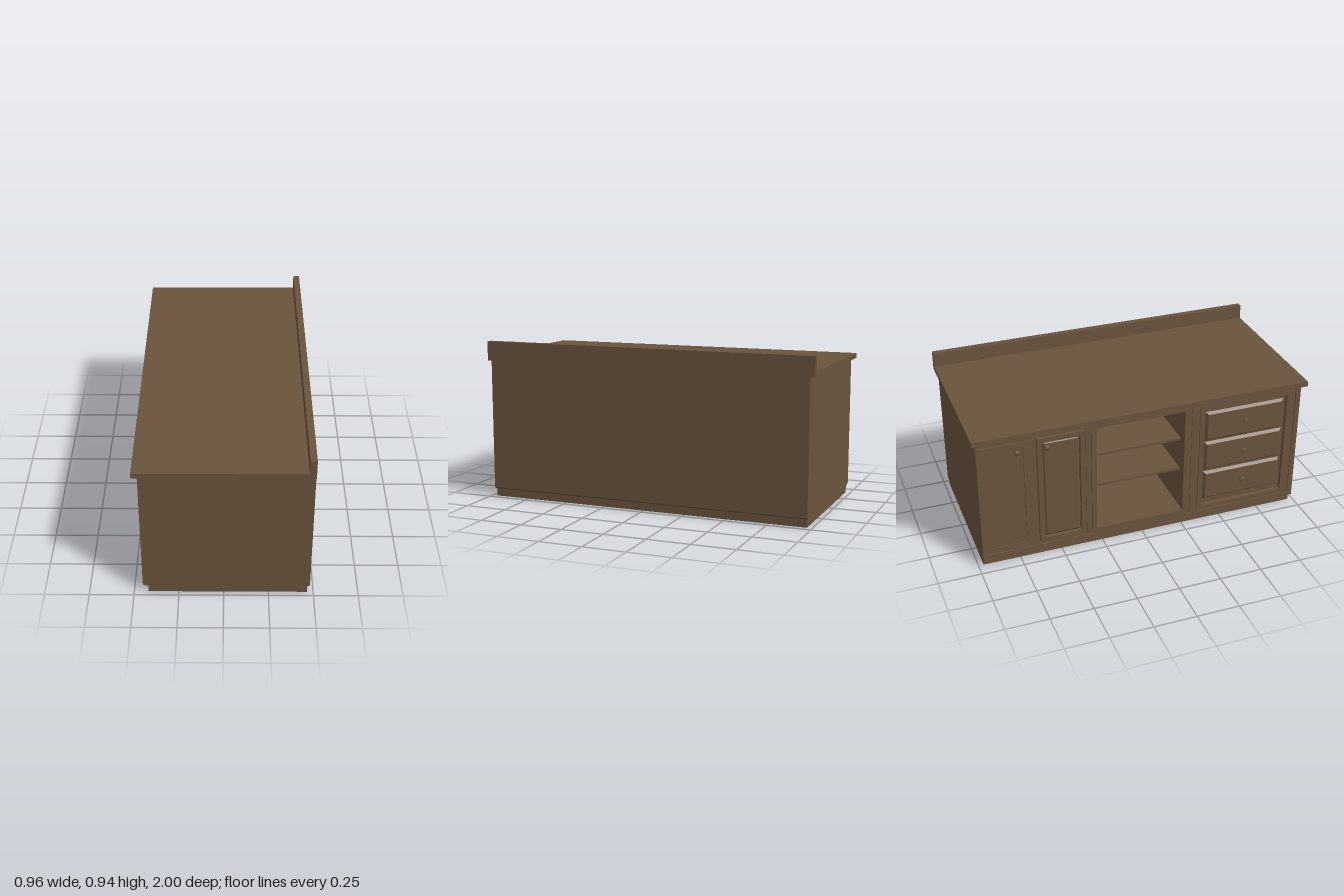
import * as THREE from 'three';

const wood = new THREE.MeshStandardMaterial({ color: 0x6a533d });
wood.name = 'brownWood';

function add(parent, name, geometry) {
  const mesh = new THREE.Mesh(geometry, wood);
  mesh.name = name;
  parent.add(mesh);
  return mesh;
}

// Box given by its two extreme corners
function box(parent, name, x0, x1, y0, y1, z0, z1) {
  const m = add(parent, name, new THREE.BoxGeometry(x1 - x0, y1 - y0, z1 - z0));
  m.position.set((x0 + x1) / 2, (y0 + y1) / 2, (z0 + z1) / 2);
  return m;
}

function rect(Kind, [u0, u1, v0, v1]) {
  const p = new Kind();
  p.moveTo(u0, v0);
  p.lineTo(u1, v0);
  p.lineTo(u1, v1);
  p.lineTo(u0, v1);
  p.closePath();
  return p;
}

// Flat board with rectangular holes, from depth w0 to w1
function board(parent, name, outer, holes, w0, w1) {
  const shape = rect(THREE.Shape, outer);
  holes.forEach(h => shape.holes.push(rect(THREE.Path, h)));
  const g = new THREE.ExtrudeGeometry(shape, { depth: w1 - w0, bevelEnabled: false });
  add(parent, name, g).position.z = w0;
}

const inset = ([u0, u1, v0, v1], d) => [u0 + d, u1 - d, v0 + d, v1 - d];

// Raised rectangular moulding
function ring(parent, name, outer, width, w0, w1) {
  board(parent, name, outer, [inset(outer, width)], w0, w1);
}

// Panel whose edges slope back from its face
function raisedPanel(parent, name, r, slope, w0, w1) {
  const g = new THREE.BoxGeometry(r[1] - r[0], r[3] - r[2], w1 - w0).toNonIndexed();
  const p = g.attributes.position;
  for (let i = 0; i < p.count; i++) {
    if (p.getZ(i) > 0) {
      p.setX(i, p.getX(i) - Math.sign(p.getX(i)) * slope);
      p.setY(i, p.getY(i) - Math.sign(p.getY(i)) * slope);
    }
  }
  g.computeVertexNormals();
  add(parent, name, g).position.set((r[0] + r[1]) / 2, (r[2] + r[3]) / 2, (w0 + w1) / 2);
}

// Round pull knob pointing outwards
function knob(parent, name, u, v, w0, w1) {
  const d = w1 - w0;
  const profile = [[0.008, 0], [0.008, 0.3], [0.016, 0.45], [0.0175, 0.65], [0.014, 0.88], [0, 1]]
    .map(([r, t]) => new THREE.Vector2(r, t * d));
  const m = add(parent, name, new THREE.LatheGeometry(profile, 16));
  m.rotation.x = Math.PI / 2;
  m.position.set(u, v, w0);
}

export function createModel() {
  const root = new THREE.Group();
  root.name = 'counterCabinet';

  // Plinth and the shallow sloping underside of the carcass
  box(root, 'plinth', -0.42, 0.465, 0, 0.05, -0.97, 0.97);
  const baseGeo = new THREE.BoxGeometry(0.93, 0.01, 1.95).toNonIndexed();
  const p = baseGeo.attributes.position;
  for (let i = 0; i < p.count; i++) {
    if (p.getY(i) < 0) p.setX(i, p.getX(i) < 0 ? -0.435 : 0.45);
  }
  baseGeo.computeVertexNormals();
  add(root, 'slopedBase', baseGeo).position.set(0.015, 0.05, 0);

  // Carcass
  const carcass = new THREE.Group();
  carcass.name = 'carcass';
  root.add(carcass);
  box(carcass, 'backPanel', 0.45, 0.48, 0.055, 0.825, -0.975, 0.975);
  for (const s of [-1, 1]) {
    const z = [s * 0.975, s * 0.95].sort((a, b) => a - b);
    box(carcass, 'sidePanel', -0.45, 0.45, 0.055, 0.825, z[0], z[1]);
  }
  box(carcass, 'floorPanel', -0.42, 0.45, 0.055, 0.11, -0.95, 0.95);
  box(carcass, 'dividerNearDoors', -0.42, 0.45, 0.11, 0.825, -0.32, -0.29);
  box(carcass, 'dividerNearDrawers', -0.42, 0.45, 0.11, 0.825, 0.245, 0.275);
  for (const y of [0.375, 0.58]) box(carcass, 'shelf', -0.39, 0.45, y - 0.016, y, -0.29, 0.245);

  // Countertop and backsplash
  box(root, 'countertop', -0.48, 0.48, 0.825, 0.855, -1, 1);
  box(root, 'backsplash', 0.443, 0.48, 0.855, 0.94, -1, 1);

  // Working face: local x runs along z, local z points towards -x
  const face = new THREE.Group();
  face.name = 'cabinetFace';
  face.rotation.y = -Math.PI / 2;
  root.add(face);

  const doors = [[-0.957, -0.677, 0.085, 0.79], [-0.637, -0.35, 0.085, 0.79]];
  const opening = [-0.29, 0.245, 0.11, 0.785];
  const drawerBay = [0.365, 0.89, 0.115, 0.775];
  board(face, 'faceFrame', [-0.95, 0.95, 0.055, 0.825], [...doors, opening, drawerBay], 0.42, 0.443);
  board(face, 'outerFrame', [-0.975, 0.975, 0.055, 0.825],
    [[-0.962, 0.945, 0.08, 0.8]], 0.443, 0.45);
  ring(face, 'openingMoulding', inset(opening, -0.03), 0.03, 0.443, 0.45);
  ring(face, 'drawerMoulding', inset(drawerBay, -0.025), 0.025, 0.443, 0.45);
  box(face, 'pilaster', 0.29, 0.325, 0.08, 0.8, 0.443, 0.447);

  // Doors with recessed panels
  doors.forEach((d, i) => {
    ring(face, 'doorFrame', inset(d, 0.004), 0.03, 0.425, 0.45);
    raisedPanel(face, 'doorPanel', inset(d, 0.034), 0.015, 0.425, 0.438);
    knob(face, 'doorKnob', i ? -0.575 : -0.745, 0.722, 0.436, 0.461);
  });

  // Three drawers
  box(face, 'drawerBacking', 0.365, 0.89, 0.115, 0.775, 0.42, 0.426);
  for (const y of [0.243, 0.447, 0.648]) {
    raisedPanel(face, 'drawerFront', [0.38, 0.875, y - 0.096, y + 0.096], 0.014, 0.426, 0.441);
    knob(face, 'drawerKnob', 0.63, y, 0.44, 0.457);
  }
  return root;
}
